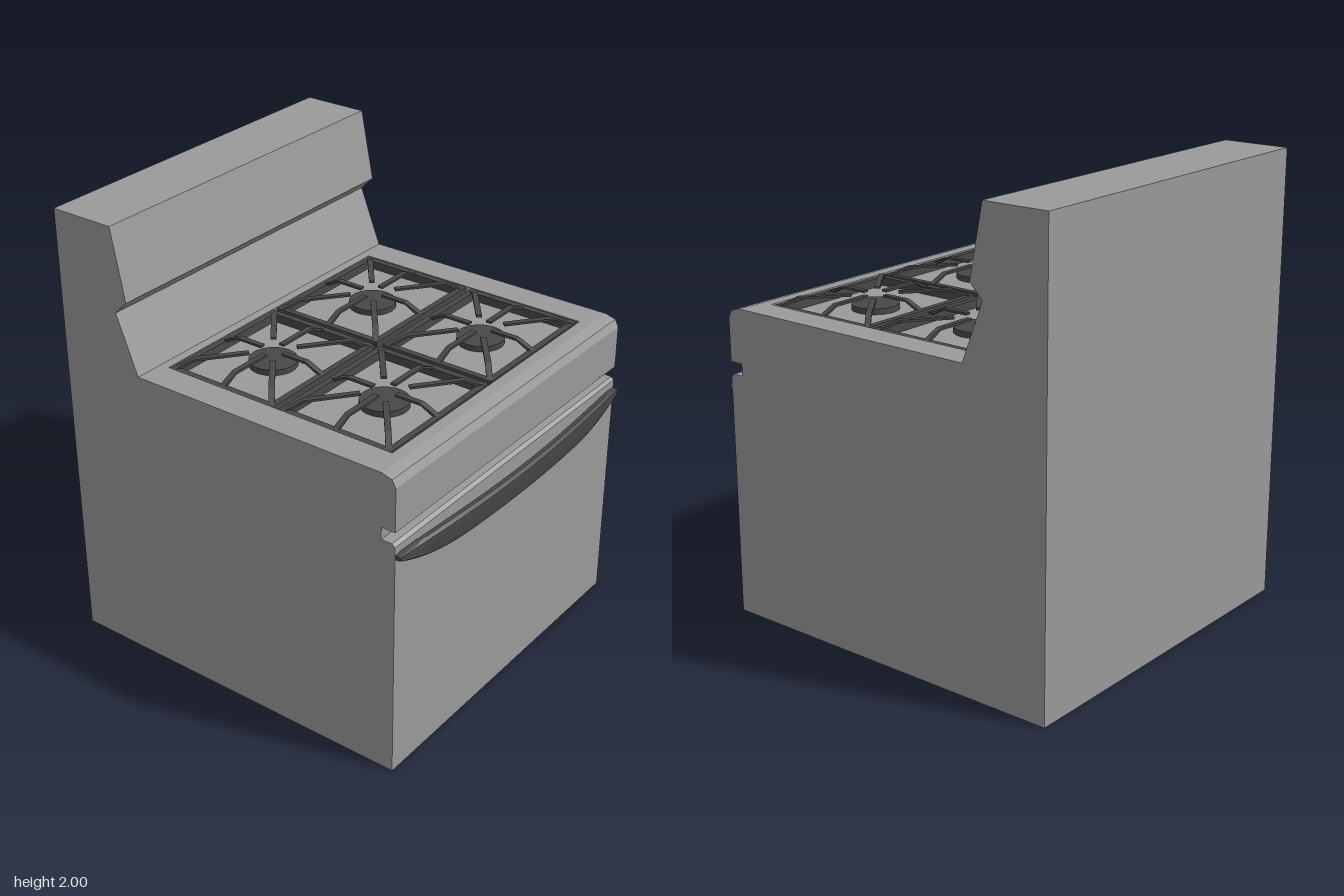
import * as THREE from 'three';
import { toCreasedNormals } from 'three/addons/utils/BufferGeometryUtils.js';

const grey = new THREE.MeshStandardMaterial({ color: 0x9a9a9a });
const dark = new THREE.MeshStandardMaterial({ color: 0x484848 });

const HALF = 0.81, WELL = 0.675, TOP = 1.375, FLOOR = 1.335;

function add(parent, name, geometry, material) {
  const mesh = new THREE.Mesh(geometry, material);
  mesh.name = name;
  parent.add(mesh);
  return mesh;
}

const shapeOf = (pts) => new THREE.Shape(pts.map(([a, b]) => new THREE.Vector2(a, b)));

// Side profile (z, y) swept from x0 to x1
function sweepX(pts, x0, x1) {
  const g = new THREE.ExtrudeGeometry(shapeOf(pts), { depth: x1 - x0, bevelEnabled: false });
  return g.rotateY(-Math.PI / 2).translate(x1, 0, 0);
}

function bodyProfile(withWell) {
  const well = withWell ? [[0.68, TOP], [0.68, FLOOR], [-0.43, FLOOR], [-0.43, TOP]] : [];
  return [
    [-0.87, 0], [0.795, 0], [0.795, 1.073], [0.78, 1.085], [0.731, 1.085], [0.731, 1.138],
    [0.795, 1.138], [0.795, 1.33], [0.778, 1.362], [0.73, TOP],
    ...well,
    [-0.471, TOP], [-0.571, 1.63], [-0.51, 1.69], [-0.571, 2], [-0.87, 2],
  ];
}

// Bowed door handle, lofted from six-sided cross-sections
function handleGeometry() {
  const N = 40, K = 6, pos = [], idx = [];
  for (let i = 0; i <= N; i++) {
    const u = -1 + (2 * i) / N, t = Math.abs(u);
    const out = 0.868 - 0.048 * t * t, back = out - 0.029;
    const top = 1.055 - 0.018 * t ** 6;
    const bottom = 0.95 + 0.068 * Math.max(0, (t - 0.45) / 0.55) ** 2.5;
    const c = (top - bottom) * 0.12;
    const ring = [
      [back, top], [out - 0.012, top], [out, top - c],
      [out, bottom + c], [out - 0.005, bottom], [back + 0.004, bottom],
    ];
    for (const [z, y] of ring) pos.push(u * (HALF - 0.003), y, z);
  }
  for (let i = 0; i < N; i++) {
    for (let k = 0; k < K; k++) {
      const a = i * K + k, b = i * K + ((k + 1) % K);
      idx.push(a, b, a + K, b, b + K, a + K);
    }
  }
  for (let k = 1; k < K - 1; k++) {
    idx.push(0, k + 1, k);
    idx.push(N * K, N * K + k, N * K + k + 1);
  }
  const g = new THREE.BufferGeometry();
  g.setAttribute('position', new THREE.Float32BufferAttribute(pos, 3));
  g.setIndex(idx);
  return toCreasedNormals(g, 0.5);
}

// Rectangular grate frame lying flat
function frameGeometry(w, d, bar, height) {
  const rect = (a, b) => [[-a, -b], [a, -b], [a, b], [-a, b]];
  const shape = shapeOf(rect(w, d));
  shape.holes.push(shapeOf(rect(w - bar, d - bar)));
  return new THREE.ExtrudeGeometry(shape, { depth: height, bevelEnabled: false }).rotateX(-Math.PI / 2);
}

// Raised finger running inward from radius r to radius inner
function fingerGeometry(r, inner, width) {
  const pts = [
    [inner, 1.395], [r - 0.06, 1.395], [r + 0.02, 1.355],
    [r + 0.02, 1.37], [r - 0.063, 1.405], [inner, 1.405],
  ];
  return new THREE.ExtrudeGeometry(shapeOf(pts), { depth: width, bevelEnabled: false })
    .translate(0, 0, -width / 2);
}

function createBurner(w, d) {
  const burner = new THREE.Group();
  burner.name = 'burner';
  const bar = 0.028, ix = w - bar, iz = d - bar;
  add(burner, 'grateFrame', frameGeometry(w, d, bar, 0.037), dark).position.y = FLOOR;
  add(burner, 'burnerCap', new THREE.CylinderGeometry(0.102, 0.102, 0.025, 32), dark)
    .position.y = FLOOR + 0.0125;

  // Eight fingers: four straight, four to the corners
  for (let sx = -1; sx <= 1; sx++) {
    for (let sz = -1; sz <= 1; sz++) {
      if (!sx && !sz) continue;
      const diagonal = sx !== 0 && sz !== 0;
      const r = Math.hypot(sx * ix, sz * iz);
      const g = fingerGeometry(r, diagonal ? 0.1 : 0.055, 0.025);
      add(burner, 'grateFinger', g, dark).rotation.y = Math.atan2(-sz * iz, sx * ix);
    }
  }
  return burner;
}

export function createModel() {
  const stove = new THREE.Group();
  stove.name = 'stove';

  // Body: plain side sections around a middle section with the cooktop well
  const body = new THREE.Group();
  body.name = 'body';
  stove.add(body);
  add(body, 'rightSide', sweepX(bodyProfile(false), -HALF, -WELL), grey);
  add(body, 'middle', sweepX(bodyProfile(true), -WELL, WELL), grey);
  add(body, 'leftSide', sweepX(bodyProfile(false), WELL, HALF), grey);

  add(stove, 'ovenHandle', handleGeometry(), dark);

  // Four burners with grates
  for (const x of [-0.341, 0.341]) {
    for (const z of [-0.161, 0.402]) {
      const burner = createBurner(0.331, 0.268);
      burner.position.set(x, 0, z);
      stove.add(burner);
    }
  }
  return stove;
}
